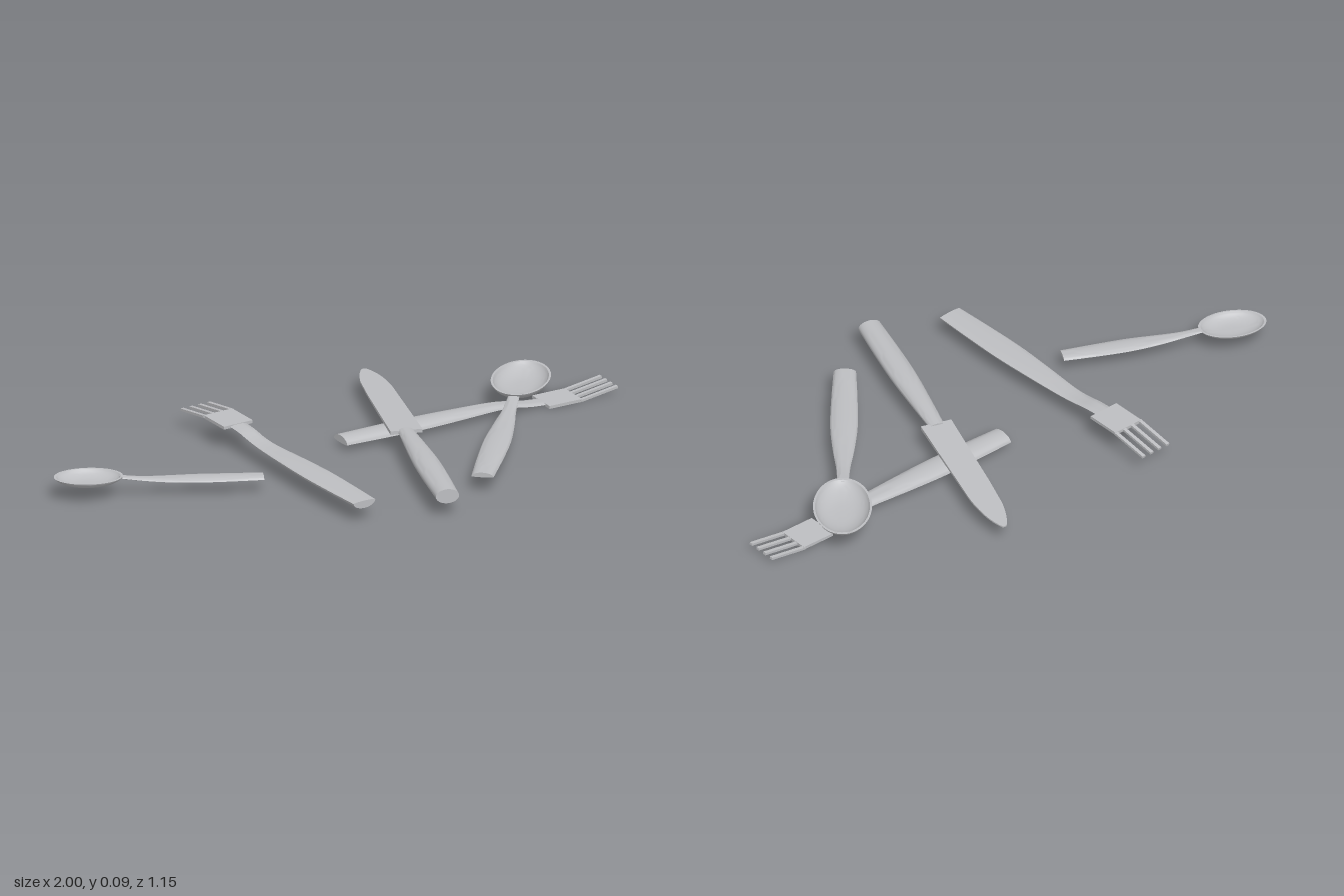
import * as THREE from 'three';
import { toCreasedNormals } from 'three/addons/utils/BufferGeometryUtils.js';

const steel = new THREE.MeshStandardMaterial({ color: 0xbdbec1 });
steel.name = 'steel';

function add(parent, geometry, name) {
  const mesh = new THREE.Mesh(geometry, steel);
  mesh.name = name;
  parent.add(mesh);
  return mesh;
}

// Handle along +x from sections [distance, half width, y, height above y, depth below y]
function handleGeometry(sections, steps = 24, sides = 24) {
  const spine = new THREE.CatmullRomCurve3(
    sections.map(([s, w, y]) => new THREE.Vector3(s, w, y)), false, 'catmullrom');
  const depth = new THREE.CatmullRomCurve3(
    sections.map(([, , , up, down]) => new THREE.Vector3(up, down, 0)), false, 'catmullrom');
  const pos = [], index = [];
  for (let i = 0; i <= steps; i++) {
    const p = spine.getPoint(i / steps), d = depth.getPoint(i / steps);
    for (let k = 0; k < sides; k++) {
      const a = (k / sides) * Math.PI * 2, sn = Math.sin(a);
      pos.push(p.x, p.z + sn * (sn > 0 ? d.x : d.y), p.y * Math.cos(a));
    }
  }
  for (let i = 0; i < steps; i++) {
    for (let k = 0; k < sides; k++) {
      const a = i * sides + k, b = i * sides + (k + 1) % sides;
      index.push(a, a + sides, b, b, a + sides, b + sides);
    }
  }
  // End caps
  const last = steps * sides;
  for (let k = 1; k < sides - 1; k++) {
    index.push(0, k, k + 1, last, last + k + 1, last + k);
  }
  const g = new THREE.BufferGeometry();
  g.setAttribute('position', new THREE.Float32BufferAttribute(pos, 3));
  g.setIndex(index);
  return toCreasedNormals(g, 0.7);
}

// Places a piece with its handle end at (x, y, z), pointing along (dx, dz)
function place(piece, name, x, y, z, dx, dz) {
  piece.name = name;
  piece.rotation.order = 'YXZ';
  piece.position.set(x, y, z);
  piece.rotation.y = Math.atan2(-dz, dx);
  return piece;
}

function makeFork() {
  const fork = new THREE.Group();
  add(fork, handleGeometry([
    [0, 0.041, 0.022, 0.021, 0.004],
    [0.14, 0.046, 0.022, 0.021, 0.004],
    [0.28, 0.048, 0.022, 0.021, 0.004],
    [0.42, 0.042, 0.023, 0.018, 0.004],
    [0.56, 0.033, 0.024, 0.013, 0.003],
    [0.63, 0.030, 0.019, 0.009, 0.003],
    [0.69, 0.030, 0.010, 0.007, 0.004],
    [0.75, 0.030, 0.006, 0.005, 0.004],
  ], 35), 'forkHandle');
  const head = add(fork, new THREE.BoxGeometry(0.12, 0.01, 0.108), 'forkHead');
  head.position.set(0.8, 0.006, 0);
  // Four tines rising towards their tips
  for (let i = 0; i < 4; i++) {
    const tine = add(fork, new THREE.BoxGeometry(0.138, 0.008, 0.012), 'tine');
    tine.position.set(0.924, 0.0155, (i - 1.5) * 0.0335);
    tine.rotation.z = 0.15;
  }
  return fork;
}

function makeSpoon() {
  const spoon = new THREE.Group();
  add(spoon, handleGeometry([
    [0, 0.036, 0.002, 0.014, 0.002],
    [0.15, 0.042, 0.003, 0.014, 0.002],
    [0.3, 0.044, 0.005, 0.014, 0.002],
    [0.43, 0.035, 0.008, 0.012, 0.002],
    [0.54, 0.023, 0.015, 0.009, 0.003],
    [0.64, 0.018, 0.028, 0.006, 0.004],
  ], 30), 'spoonHandle');
  // Oval bowl: outer shell, rim and hollow in one closed profile
  const curve = pts => new THREE.SplineCurve(
    pts.map(([r, y]) => new THREE.Vector2(r, y))).getPoints(12);
  const outer = curve([[0, 0], [0.45, 0.002], [0.75, 0.011], [0.93, 0.025], [1, 0.037]]);
  const inner = curve([[0.93, 0.037], [0.86, 0.027], [0.7, 0.015], [0.42, 0.006], [0, 0.004]]);
  const bowl = new THREE.LatheGeometry([...outer, ...inner], 48);
  bowl.scale(0.154, 1, 0.094);
  add(spoon, toCreasedNormals(bowl, 0.7), 'spoonBowl').position.x = 0.779;
  return spoon;
}

function makeKnife() {
  const knife = new THREE.Group();
  add(knife, handleGeometry([
    [0, 0.038, 0.069, 0.024, 0.024],
    [0.15, 0.042, 0.069, 0.024, 0.024],
    [0.3, 0.042, 0.069, 0.023, 0.023],
    [0.45, 0.034, 0.068, 0.019, 0.019],
    [0.585, 0.025, 0.067, 0.012, 0.012],
  ]), 'knifeHandle');
  // Flat blade thinning towards the tip
  const s = new THREE.Shape();
  s.moveTo(0, -0.052);
  s.lineTo(0, 0.052);
  s.lineTo(0.41, 0.048);
  s.quadraticCurveTo(0.53, 0.04, 0.583, 0.004);
  s.quadraticCurveTo(0.588, -0.008, 0.576, -0.014);
  s.quadraticCurveTo(0.53, -0.034, 0.465, -0.041);
  s.lineTo(0.345, -0.046);
  s.closePath();
  const g = new THREE.ExtrudeGeometry(s, { depth: 0.012, bevelEnabled: false, curveSegments: 10 });
  g.rotateX(Math.PI / 2).translate(0, 0.006, 0);
  const p = g.attributes.position;
  for (let i = 0; i < p.count; i++) p.setY(i, p.getY(i) * (1 - 1.1 * p.getX(i)));
  g.computeVertexNormals();
  const blade = add(knife, g, 'knifeBlade');
  blade.position.set(0.573, 0.068, 0);
  blade.rotation.z = -0.018;
  return knife;
}

export function createModel() {
  const cutlery = new THREE.Group();
  cutlery.name = 'cutlerySet';

  const rightFork = place(makeFork(), 'rightFork', 0.008, 0, -0.1, 0.978, -0.169);
  // The other fork lies face down
  const leftFork = place(makeFork(), 'leftFork', -0.148, 0.088, 0.516, -0.2, -0.967);
  leftFork.rotation.x = Math.PI;

  const knife = place(makeKnife(), 'knife', 0.112, 0, 0.574, 0.138, -0.99);
  const largeSpoon = place(makeSpoon(), 'largeSpoon', 0.291, 0.05, 0.417, 0.501, -0.865);
  const teaspoon = place(makeSpoon(), 'teaspoon', -0.354, 0.047, 0.158, -0.966, -0.258);
  teaspoon.scale.set(0.717, 0.72, 0.777);

  cutlery.add(rightFork, leftFork, knife, largeSpoon, teaspoon);
  return cutlery;
}
